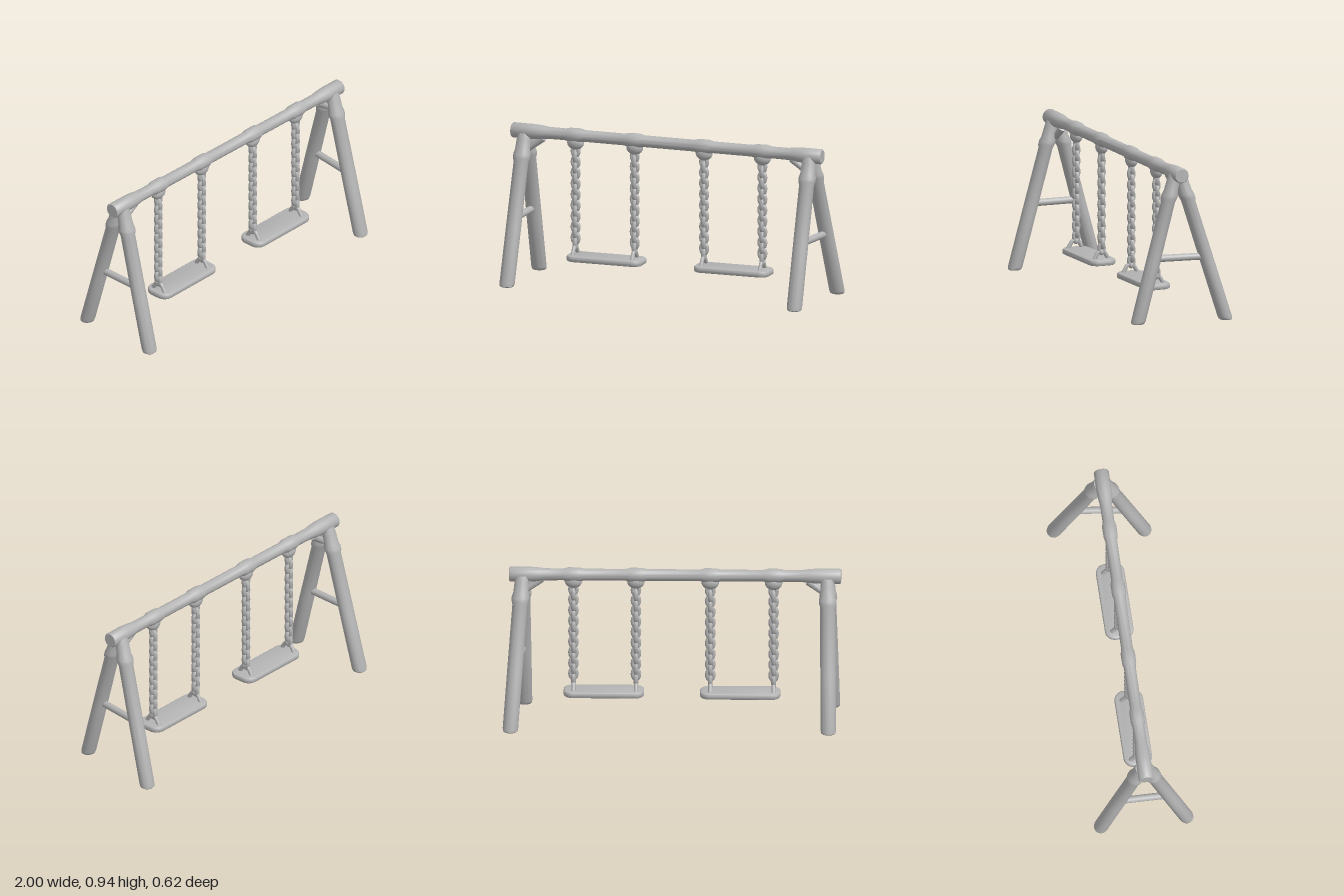
import * as THREE from 'three';
import { toCreasedNormals } from 'three/addons/utils/BufferGeometryUtils.js';

const V = (x, y, z) => new THREE.Vector3(x, y, z);
const beamY = x => 0.891 - 0.004 * x;
const beamZ = x => 0.01 + 0.011 * x;
const CHAINS = [-0.6, -0.225, 0.215, 0.585];

export function createModel() {
  const model = new THREE.Group();
  model.name = 'swingSet';
  const grey = new THREE.MeshStandardMaterial({ color: 0xb4b4b4 });
  grey.name = 'plainGrey';

  const add = (parent, name, geometry) => {
    const mesh = new THREE.Mesh(geometry, grey);
    mesh.name = name;
    parent.add(mesh);
    return mesh;
  };
  const group = name => {
    const g = new THREE.Group();
    g.name = name;
    model.add(g);
    return g;
  };
  const lathe = points => new THREE.LatheGeometry(points.map(p => new THREE.Vector2(p[0], p[1])), 28);
  const warp = (geometry, rule) => {
    const p = geometry.attributes.position, v = V(0, 0, 0);
    for (let i = 0; i < p.count; i++) {
      rule(v.fromBufferAttribute(p, i));
      p.setXYZ(i, v.x, v.y, v.z);
    }
    return toCreasedNormals(geometry, 0.8);
  };
  // Straight rod between two points, optionally tapered
  const rod = (parent, name, a, b, ra, rb = ra) => {
    const d = b.clone().sub(a);
    const m = add(parent, name, new THREE.CylinderGeometry(rb, ra, d.length(), 20));
    m.position.copy(a).add(b).multiplyScalar(0.5);
    m.quaternion.setFromUnitVectors(V(0, 1, 0), d.normalize());
  };

  // Top beam with thick ends and a swollen collar at every chain
  const profile = [[0, -1], [0.04, -1], [0.045, -0.994], [0.045, -0.86], [0.042, -0.81], [0.036, -0.77]];
  for (const x of CHAINS) {
    profile.push([0.035, x - 0.065], [0.042, x - 0.035], [0.043, x + 0.03], [0.035, x + 0.06]);
  }
  profile.push([0.036, 0.75], [0.041, 0.79], [0.045, 0.84], [0.045, 0.959], [0.04, 0.965], [0, 0.965]);
  add(model, 'topBeam', warp(lathe(profile).rotateZ(-Math.PI / 2), v => {
    v.y += beamY(v.x);
    v.z += beamZ(v.x);
  }));

  // Leg cut level at the ground, leaning from foot to top, with a collar
  const leg = (parent, name, foot, top) => {
    const g = lathe([[0, 0], [0.036, 0], [0.043, 0.005], [0.046, 0.02], [0.046, 0.35], [0.045, 0.72],
      [0.052, 0.745], [0.052, 0.765], [0.045, 0.79], [0.042, 0.85], [0.038, 0.888], [0, 0.888]]);
    add(parent, name, warp(g, v => {
      const t = v.y / 0.888;
      v.x += foot.x + (top.x - foot.x) * t;
      v.z = v.z * 0.93 + foot.z + (top.z - foot.z) * t;
    }));
  };

  // A-frames
  const frames = [
    { name: 'rightFrame', top: -0.92, front: V(-0.943, 0, 0.25), back: V(-0.93, 0, -0.265), bar: 0.395, inward: 1 },
    { name: 'leftFrame', top: 0.888, front: V(0.88, 0, 0.27), back: V(0.953, 0, -0.268), bar: 0.385, inward: -1 },
  ];
  for (const f of frames) {
    const g = group(f.name);
    const z = beamZ(f.top);
    const frontTop = V(f.top, 0.888, z + 0.012), backTop = V(f.top, 0.888, z - 0.018);
    leg(g, 'frontLeg', f.front, frontTop);
    leg(g, 'backLeg', f.back, backTop);
    const at = (foot, top) => {
      const p = foot.clone().lerp(top, f.bar / 0.888);
      p.y = f.bar;
      return p;
    };
    rod(g, 'crossBar', at(f.front, frontTop), at(f.back, backTop), 0.021);
    // Short brace between the frame and the beam
    rod(g, 'brace', V(f.top + 0.02 * f.inward, 0.79, z), V(f.top + 0.115 * f.inward, 0.862, z), 0.018, 0.024);
  }

  // Chain link: a stretched ring in the xy plane
  const link = new THREE.TorusGeometry(0.019, 0.0125, 8, 18);
  link.scale(1, 1.4, 1.1);

  // Swings, each with two chains and one seat
  const swings = [
    { name: 'rightSwing', xs: CHAINS.slice(0, 2), x: -0.402, z: 0.01 },
    { name: 'leftSwing', xs: CHAINS.slice(2), x: 0.405, z: 0.019 },
  ];
  for (const s of swings) {
    const g = group(s.name);
    for (const x of s.xs) {
      const z = beamZ(x);
      const hanger = add(g, 'hanger', new THREE.SphereGeometry(1, 20, 14));
      hanger.scale.set(0.052, 0.042, 0.034);
      hanger.position.set(x, 0.848, z);
      for (let i = 0; i < 18; i++) {
        const m = add(g, 'chainLink', link);
        m.position.set(x, 0.797 - i * 0.0328, z);
        if (i % 2) {
          m.rotation.y = Math.PI / 2;
          m.scale.x = 0.85;
        }
      }
      // Arched loop holding the seat
      const arch = [[-0.05, 0.165], [-0.036, 0.19], [-0.015, 0.218], [0.015, 0.218], [0.036, 0.19], [0.05, 0.165]];
      const curve = new THREE.CatmullRomCurve3(arch.map(p => V(x, p[1], s.z + p[0])));
      add(g, 'seatLoop', new THREE.TubeGeometry(curve, 24, 0.012, 10));
    }
    // Rounded seat board
    const w = 0.226, d = 0.073, r = 0.045, bevel = 0.012;
    const board = new THREE.Shape();
    board.moveTo(-w + r, -d);
    board.lineTo(w - r, -d);
    board.absarc(w - r, -d + r, r, -Math.PI / 2, 0);
    board.absarc(w - r, d - r, r, 0, Math.PI / 2);
    board.absarc(-w + r, d - r, r, Math.PI / 2, Math.PI);
    board.absarc(-w + r, -d + r, r, Math.PI, Math.PI * 1.5);
    const geo = new THREE.ExtrudeGeometry(board, {
      depth: 0.012, bevelThickness: bevel, bevelSize: bevel, bevelSegments: 4, curveSegments: 8,
    });
    geo.rotateX(-Math.PI / 2);
    const seat = add(g, 'seat', toCreasedNormals(geo, 0.7));
    seat.position.set(s.x, 0.141 + bevel, s.z);
  }
  return model;
}
